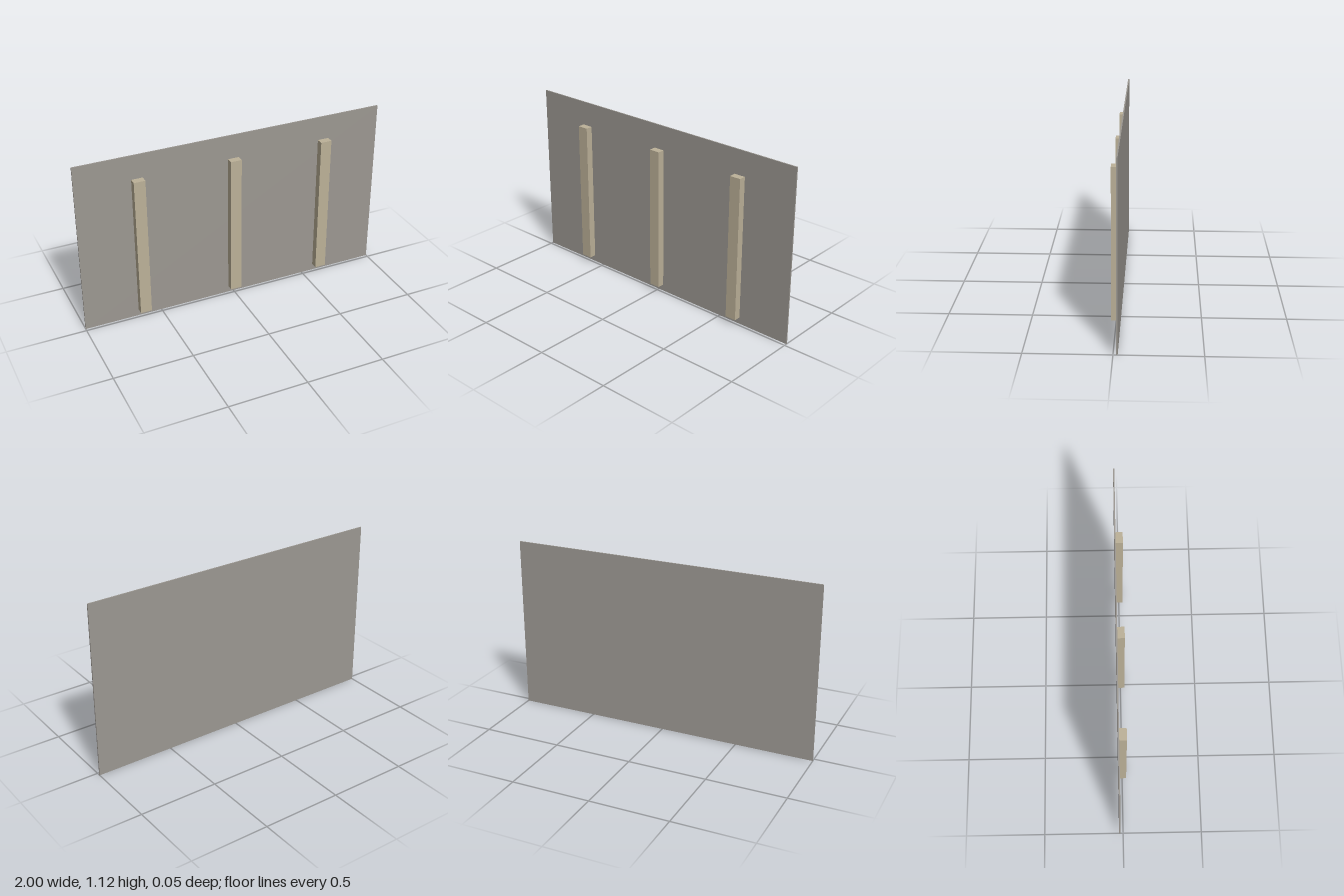
import * as THREE from 'three';

export function createModel() {
  const group = new THREE.Group();
  const panelGrey = new THREE.MeshStandardMaterial({ color: 0x9c9892 });
  panelGrey.name = 'panelGrey';
  const battenWood = new THREE.MeshStandardMaterial({ color: 0xbcb198 });
  battenWood.name = 'battenWood';

  const addBox = (name, material, size, position) => {
    const mesh = new THREE.Mesh(new THREE.BoxGeometry(...size), material);
    mesh.name = name;
    mesh.position.set(...position);
    group.add(mesh);
  };

  // Thin sheet standing upright at the back
  addBox('panel', panelGrey, [2, 1.12, 0.008], [0, 0.56, -0.022]);

  // Three upright battens fixed to its front face
  [['rightBatten', -0.616], ['middleBatten', 0], ['leftBatten', 0.616]].forEach(([name, x]) =>
    addBox(name, battenWood, [0.072, 0.922, 0.044], [x, 0.504, 0.004]));

  return group;
}
